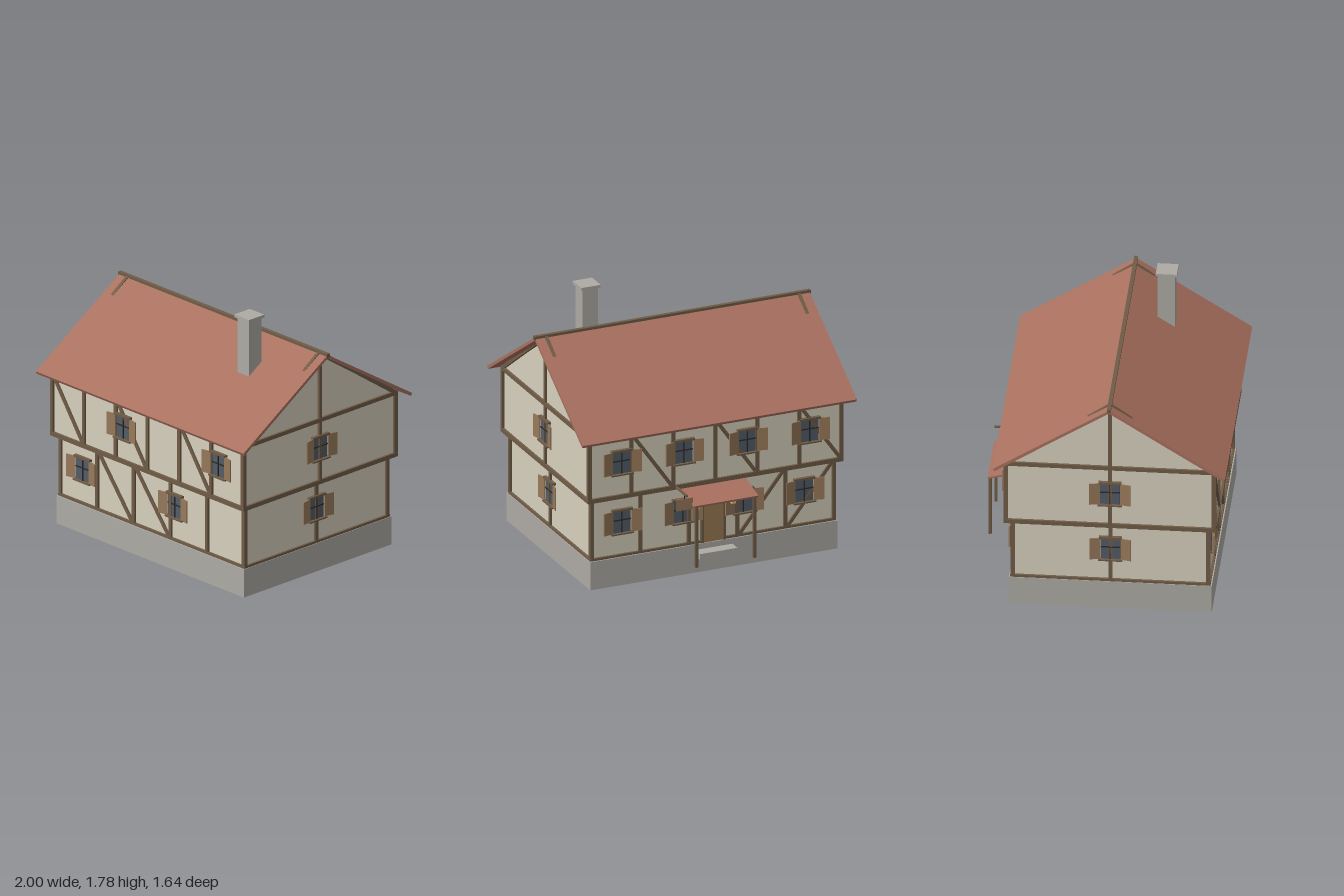
import * as THREE from 'three';

const mat = (color) => new THREE.MeshStandardMaterial({ color, flatShading: true });
const M = {
  plaster: mat(0xd6d0bd), stone: mat(0xaeaba4), timber: mat(0x705c47), roof: mat(0xa9705f),
  shutter: mat(0x98795a), glass: mat(0x535c68), iron: mat(0x2c2a28), door: mat(0x9a7a52), lamp: mat(0xe0b878),
};
const ZC = 0.05; // depth of the ridge and of the house's middle

function box(parent, name, m, w, h, d, x, y, z) {
  const mesh = new THREE.Mesh(new THREE.BoxGeometry(w, h, d), m);
  mesh.name = name;
  mesh.position.set(x, y, z);
  parent.add(mesh);
  return mesh;
}

// Timber between two points of a facade plane
function beam(parent, name, x0, y0, x1, y1, w = 0.026, d = 0.03) {
  const len = Math.hypot(x1 - x0, y1 - y0);
  const b = box(parent, name, M.timber, len, w, d, (x0 + x1) / 2, (y0 + y1) / 2, 0);
  b.rotation.z = Math.atan2(y1 - y0, x1 - x0);
  return b;
}

// Profile in (z, y), extruded along x and centred
function prism(parent, name, m, points, length) {
  const shape = new THREE.Shape(points.map(([z, y]) => new THREE.Vector2(z, y)));
  const geo = new THREE.ExtrudeGeometry(shape, { depth: length, bevelEnabled: false });
  geo.translate(0, 0, -length / 2).rotateY(-Math.PI / 2);
  const mesh = new THREE.Mesh(geo, m);
  mesh.name = name;
  mesh.position.z = ZC;
  parent.add(mesh);
}

function addWindow(parent, x, y) {
  const g = new THREE.Group();
  g.name = 'window';
  g.position.set(x, y, 0);
  parent.add(g);
  box(g, 'glass', M.glass, 0.13, 0.165, 0.012, 0, 0, 0.003);
  box(g, 'mullion', M.iron, 0.008, 0.165, 0.01, 0, 0, 0.01);
  box(g, 'glazingBar', M.iron, 0.13, 0.008, 0.01, 0, 0.01, 0.01);
  box(g, 'lintel', M.timber, 0.15, 0.016, 0.04, 0, 0.082, 0.005);
  box(g, 'sill', M.timber, 0.16, 0.01, 0.05, 0, -0.085, 0.005);
  // Shutters stand slightly ajar on their hinges
  for (const s of [-1, 1]) {
    const hinge = new THREE.Group();
    hinge.name = 'shutterHinge';
    hinge.position.set(s * 0.068, 0, 0.012);
    hinge.rotation.y = -s * 0.2;
    box(hinge, 'shutter', M.shutter, 0.072, 0.158, 0.008, s * 0.036, 0, 0.004);
    g.add(hinge);
  }
}

// One storey of one wall: local x along the wall, z outwards
function facade(parent, name, pos, turn, posts, y0, y1, braces, windows, wy) {
  const g = new THREE.Group();
  g.name = name;
  g.position.set(...pos);
  g.rotation.y = turn;
  parent.add(g);
  posts.forEach((x) => beam(g, 'post', x, y0, x, y1));
  braces.forEach(([a, b]) => beam(g, 'brace', a, y1 - 0.02, b, y0 + 0.01, 0.024, 0.026));
  windows.forEach((x) => addWindow(g, x, wy));
}

// Ring of four beams around the house
function ring(parent, name, hx, hz, y, h) {
  for (const s of [-1, 1]) {
    box(parent, name, M.timber, 2 * hx + 0.03, h, 0.032, 0, y, ZC + s * hz);
    box(parent, name, M.timber, 0.032, h, 2 * hz, s * hx, y, ZC);
  }
}

const spaced = (half, n) => Array.from({ length: n + 1 }, (_, i) => -half + (2 * half * i) / n);

export function createModel() {
  const house = new THREE.Group();
  house.name = 'timberFramedHouse';

  // Walls
  box(house, 'foundation', M.stone, 1.79, 0.2, 1.345, 0, 0.1, ZC);
  box(house, 'groundFloorWalls', M.plaster, 1.75, 0.44, 1.296, 0, 0.42, ZC);
  box(house, 'upperFloorWalls', M.plaster, 1.82, 0.44, 1.38, 0, 0.86, ZC);
  prism(house, 'gable', M.plaster, [[-0.69, 1.08], [0.69, 1.08], [0, 1.54]], 1.82);
  ring(house, 'baseBeam', 0.875, 0.648, 0.208, 0.018);
  ring(house, 'floorBeam', 0.91, 0.69, 0.645, 0.03);
  ring(house, 'eavesBeam', 0.91, 0.69, 1.085, 0.028);

  // Framing and windows of each storey
  const low = spaced(0.877, 5), up = spaced(0.912, 6);
  const zl = 0.648, zu = 0.69;
  const bays = (posts, list) => list.map((i) => [posts[i] + 0.012, posts[i + 1] - 0.012]);
  facade(house, 'frontGroundFloor', [0, 0, ZC + zl], 0, low, 0.2, 0.64, bays(low, [1, 2]), [-0.66, 0.22], 0.45);
  facade(house, 'frontUpperFloor', [0, 0, ZC + zu], 0, up, 0.65, 1.08, bays(up, [0, 2, 4]), [-0.23, 0.68], 0.89);
  facade(house, 'backGroundFloor', [0, 0, ZC - zl], Math.PI, low, 0.2, 0.64,
    [[low[4] - 0.012, low[3] + 0.012], [low[5] - 0.012, low[4] + 0.012]], [-0.66, -0.22, 0.22, 0.66], 0.45);
  facade(house, 'backUpperFloor', [0, 0, ZC - zu], Math.PI, up, 0.65, 1.08, bays(up, [1, 3, 5]),
    [-0.68, -0.23, 0.23, 0.68], 0.89);
  for (const s of [-1, 1]) {
    const turn = (s * Math.PI) / 2;
    facade(house, 'sideGroundFloor', [s * 0.875, 0, ZC], turn, [0], 0.2, 0.64, [], [0], 0.45);
    facade(house, 'sideUpperFloor', [s * 0.91, 0, ZC], turn, [0], 0.65, 1.54, [], [0], 0.89);
    // Gable rafters, just breaking through the roof near the ridge
    const rafters = new THREE.Group();
    rafters.name = 'gableRafters';
    rafters.position.set(s * 0.915, 0, ZC);
    rafters.rotation.y = turn;
    for (const t of [-1, 1]) beam(rafters, 'rafter', t * 0.69, 1.085, 0, 1.563, 0.026, 0.024);
    house.add(rafters);
  }

  // Roof
  prism(house, 'roof', M.roof,
    [[0, 1.57], [-0.77, 1.082], [-0.76, 1.063], [0, 1.547], [0.76, 1.063], [0.77, 1.082]], 1.985);
  box(house, 'ridgeBeam', M.timber, 2, 0.026, 0.026, 0, 1.567, ZC);

  // Chimney
  box(house, 'chimney', M.stone, 0.11, 0.47, 0.115, 0.505, 1.535, 0.3);
  box(house, 'chimneyCap', M.stone, 0.14, 0.02, 0.14, 0.505, 1.775, 0.3);

  // Back entrance with porch
  const entrance = new THREE.Group();
  entrance.name = 'entrance';
  house.add(entrance);
  box(entrance, 'door', M.door, 0.14, 0.33, 0.02, 0, 0.365, -0.605);
  box(entrance, 'doorLintel', M.timber, 0.18, 0.022, 0.03, 0, 0.54, -0.605);
  box(entrance, 'step', M.stone, 0.27, 0.042, 0.085, 0, 0.14, -0.66);
  const canopy = box(entrance, 'porchRoof', M.roof, 0.465, 0.014, 0.225, 0, 0.583, -0.712);
  canopy.rotation.x = -0.25;
  for (const s of [-1, 1]) {
    box(entrance, 'doorJamb', M.timber, 0.02, 0.33, 0.03, s * 0.08, 0.365, -0.605);
    box(entrance, 'porchPost', M.timber, 0.02, 0.44, 0.02, s * 0.21, 0.34, -0.808);
    box(entrance, 'lanternBracket', M.timber, 0.014, 0.035, 0.03, s * 0.13, 0.558, -0.622);
    box(entrance, 'lanternHook', M.iron, 0.006, 0.04, 0.006, s * 0.13, 0.525, -0.638);
    box(entrance, 'lantern', M.lamp, 0.03, 0.045, 0.03, s * 0.13, 0.483, -0.643);
  }

  // Blank hanging board on its arm
  box(entrance, 'boardArm', M.timber, 0.014, 0.012, 0.19, 0.285, 0.645, -0.73);
  box(entrance, 'boardHanger', M.iron, 0.005, 0.035, 0.005, 0.285, 0.625, -0.78);
  box(entrance, 'hangingBoard', M.shutter, 0.12, 0.08, 0.006, 0.285, 0.57, -0.78);

  return house;
}
